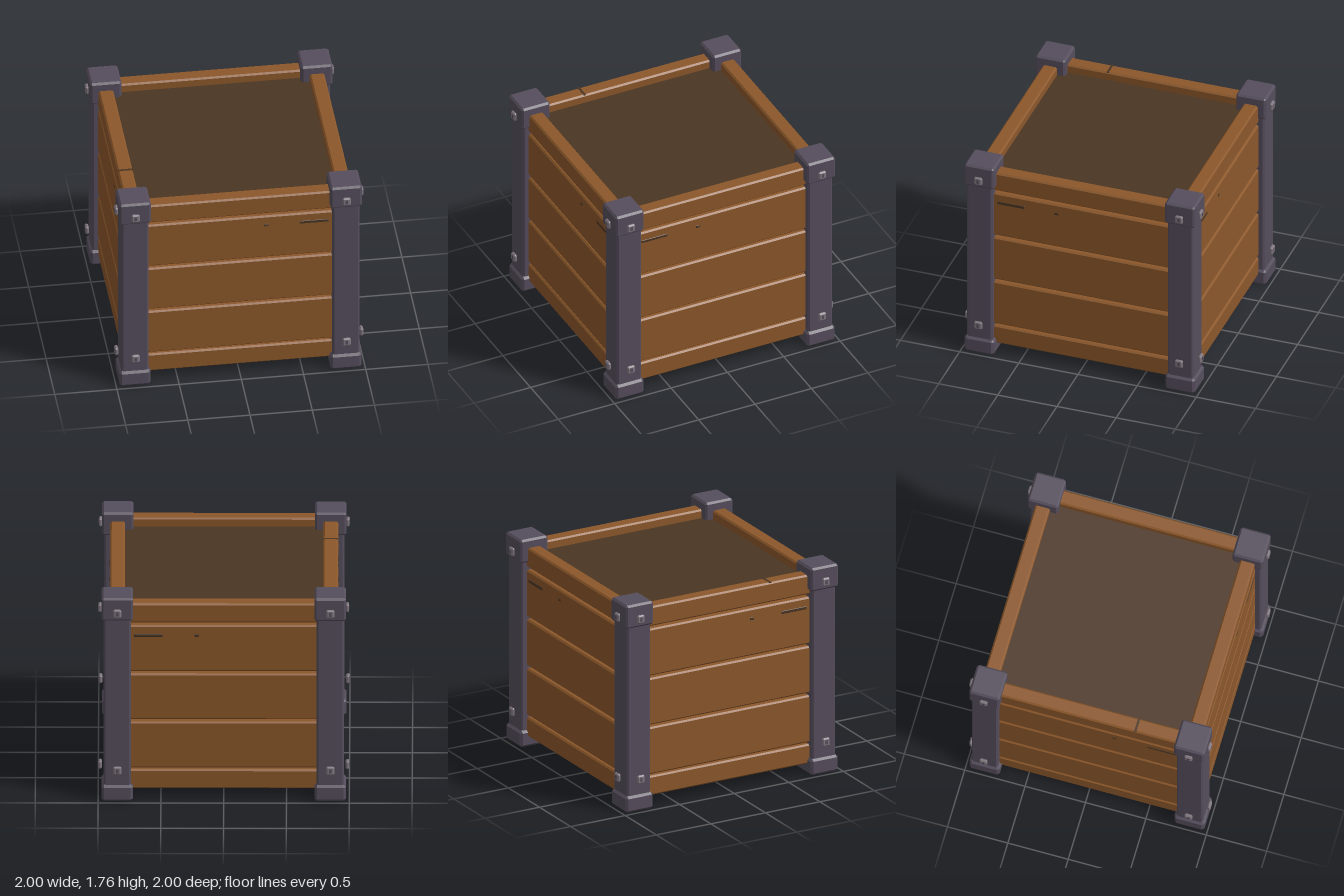
import * as THREE from 'three';
import { ConvexGeometry } from 'three/addons/geometries/ConvexGeometry.js';

const mat = (name, color) => {
  const m = new THREE.MeshStandardMaterial({ color });
  m.name = name;
  return m;
};

// Box with every edge cut by a flat chamfer c
function chamferBox(w, h, d, c) {
  const pts = [];
  for (const sx of [-1, 1]) for (const sy of [-1, 1]) for (const sz of [-1, 1]) {
    const x = w / 2, y = h / 2, z = d / 2;
    pts.push(new THREE.Vector3(sx * x, sy * (y - c), sz * (z - c)));
    pts.push(new THREE.Vector3(sx * (x - c), sy * y, sz * (z - c)));
    pts.push(new THREE.Vector3(sx * (x - c), sy * (y - c), sz * z));
  }
  return new ConvexGeometry(pts);
}

export function createModel() {
  const wood = mat('wood', 0x8b572a);
  const metal = mat('darkMetal', 0x554d5c);
  const bolt = mat('boltMetal', 0x80767f);
  const dark = mat('darkFill', 0x4a3522);

  const model = new THREE.Group();
  model.name = 'crate';
  const add = (parent, name, geo, material, x, y, z) => {
    const m = new THREE.Mesh(geo, material);
    m.name = name;
    m.position.set(x, y, z);
    parent.add(m);
    return m;
  };

  // Four walls of bevelled planks, each with a knot and a crack near the top
  const rows = [[0.085, 0.25], [0.265, 0.665], [0.685, 1.083], [1.103, 1.503], [1.525, 1.692]];
  const walls = [['frontWall', 0, 1], ['rightWall', Math.PI / 2, -1], ['backWall', Math.PI, -1], ['leftWall', -Math.PI / 2, 1]];
  for (const [name, angle, side] of walls) {
    const wall = new THREE.Group();
    wall.name = name;
    wall.rotation.y = angle;
    for (const [a, b] of rows) {
      add(wall, 'plank', chamferBox(1.6, b - a, 0.12, 0.013), wood, 0, (a + b) / 2, 0.848);
    }
    add(wall, 'crack', chamferBox(0.23, 0.026, 0.008, 0.0035), dark, side * 0.6, 1.417, 0.907);
    add(wall, 'knot', chamferBox(0.034, 0.024, 0.008, 0.0035), dark, side * 0.215, 1.417, 0.907);
    model.add(wall);
  }
  add(model, 'railCrack', new THREE.BoxGeometry(0.12, 0.006, 0.018), dark, -0.848, 1.692, 0.385);

  // Filled top and wooden floor, hollow between
  add(model, 'filling', new THREE.BoxGeometry(1.6, 0.08, 1.6), dark, 0, 1.58, 0);
  add(model, 'floor', new THREE.BoxGeometry(1.6, 0.1, 1.6), wood, 0, 0.155, 0);

  // Corner posts with cap, foot and bolts on both outer faces
  const postGeo = chamferBox(0.216, 1.6, 0.216, 0.014);
  const capGeo = chamferBox(0.252, 0.198, 0.252, 0.016);
  const footGeo = chamferBox(0.252, 0.14, 0.252, 0.02);
  const boltGeo = chamferBox(0.066, 0.07, 0.028, 0.01);
  const slotGeo = new THREE.BoxGeometry(0.018, 0.034, 0.004);
  for (const sx of [-1, 1]) for (const sz of [-1, 1]) {
    const corner = new THREE.Group();
    corner.name = 'cornerPost';
    corner.position.set(sx * 0.848, 0, sz * 0.848);
    add(corner, 'post', postGeo, metal, 0, 0.87, 0);
    add(corner, 'cap', capGeo, metal, 0, 1.666, 0);
    add(corner, 'foot', footGeo, metal, 0, 0.07, 0);
    for (const y of [0.275, 1.638]) {
      for (const angle of [sz > 0 ? 0 : Math.PI, sx * Math.PI / 2]) {
        const b = new THREE.Group();
        b.name = 'bolt';
        b.position.y = y;
        b.rotation.y = angle;
        add(b, 'boltHead', boltGeo, bolt, 0, 0, 0.137);
        add(b, 'boltSlot', slotGeo, metal, 0, 0, 0.15);
        corner.add(b);
      }
    }
    model.add(corner);
  }
  return model;
}
